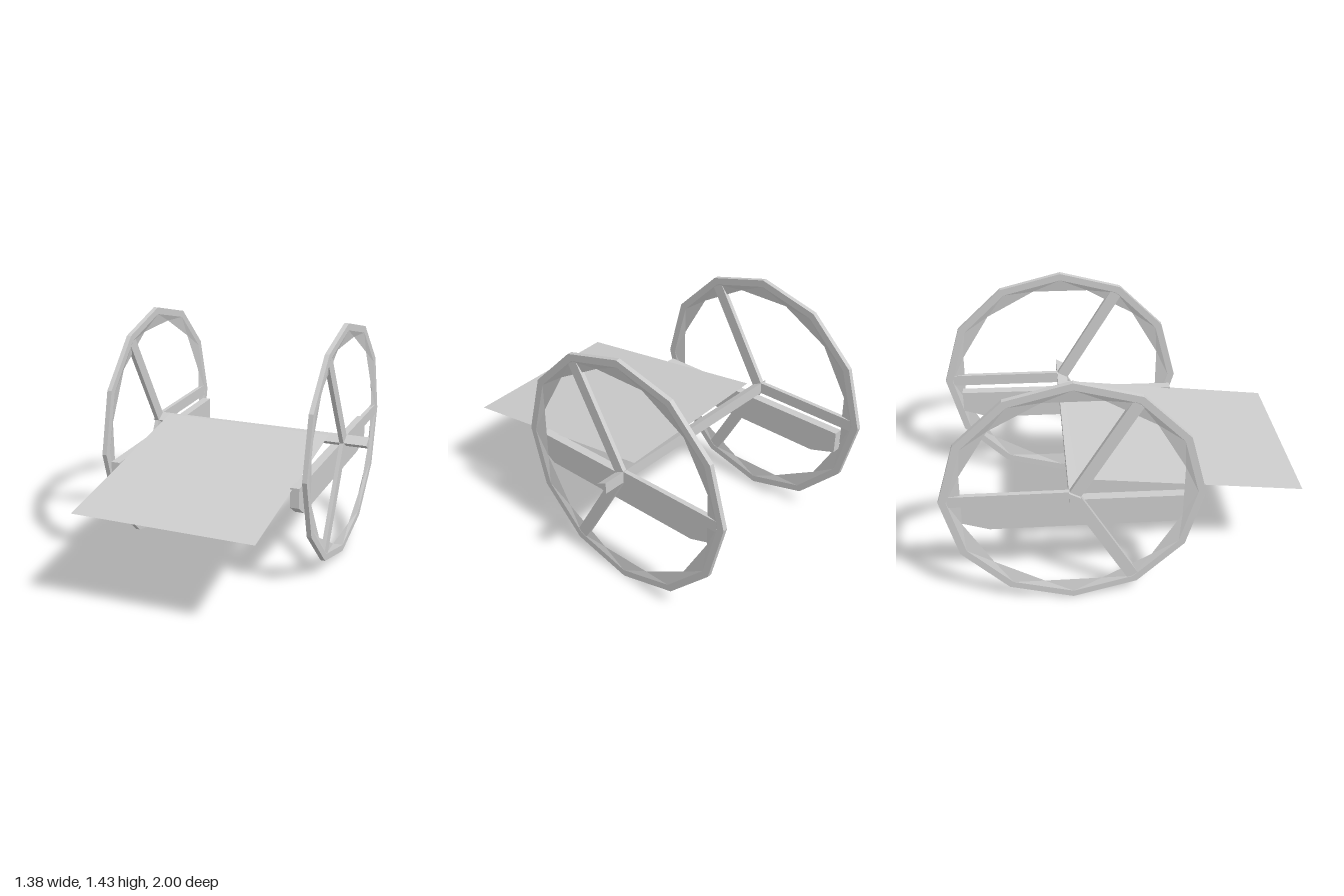
import * as THREE from 'three';

const HUB = { y: 0.719, z: -0.283 };
const SIDES = 12, OUTER = 0.713, INNER = 0.672, RIDGE = 0.617, HALF = 0.0135;

const grey = (side = THREE.FrontSide) =>
  new THREE.MeshStandardMaterial({ color: 0xcccccc, flatShading: true, side });

function add(parent, name, geometry, material = grey()) {
  const mesh = new THREE.Mesh(geometry, material);
  mesh.name = name;
  parent.add(mesh);
  return mesh;
}

function fromTriangles(points) {
  const g = new THREE.BufferGeometry();
  g.setAttribute('position', new THREE.Float32BufferAttribute(points.flat(), 3));
  g.computeVertexNormals();
  return g;
}

// Twelve-sided rim; the inner ridge is turned half a step, giving triangular facets
function rimGeometry() {
  const section = [[HALF, OUTER, 0], [-HALF, OUTER, 0], [-HALF, INNER, 0], [0, RIDGE, 0.5], [HALF, INNER, 0]];
  const at = (i, j) => {
    const [x, r, turn] = section[j % section.length];
    const a = (i + turn) / SIDES * Math.PI * 2;
    return [x, r * Math.cos(a), r * Math.sin(a)];
  };
  const tris = [];
  for (let i = 0; i < SIDES; i++) {
    for (let j = 0; j < section.length; j++) {
      const p = at(i, j), q = at(i, j + 1), r = at(i + 1, j), s = at(i + 1, j + 1);
      if (j === 3) tris.push(p, q, s, p, s, r);
      else tris.push(p, q, r, r, q, s);
    }
  }
  return fromTriangles(tris);
}

// Wheel with three flat spokes
function makeWheel(name, x) {
  const wheel = new THREE.Group();
  wheel.name = name;
  add(wheel, 'rim', rimGeometry());
  for (let k = 0; k < 3; k++) {
    const spoke = new THREE.BoxGeometry(2 * HALF - 0.002, 0.665, 0.068);
    spoke.translate(0, 0.3325, 0);
    add(wheel, 'spoke', spoke).rotation.x = Math.PI / 6 + k * Math.PI * 2 / 3;
  }
  wheel.position.set(x, HUB.y, HUB.z);
  wheel.rotation.x = 0.02;
  return wheel;
}

// Long side beam with clipped lower corners, profile in (z, y)
function beamGeometry(width) {
  const profile = [[0.395, 0.655], [-0.895, 0.69], [-0.895, 0.56], [-0.74, 0.505], [0.31, 0.483], [0.395, 0.54]];
  const shape = new THREE.Shape(profile.map(([z, y]) => new THREE.Vector2(z, y)));
  const g = new THREE.ExtrudeGeometry(shape, { depth: width, bevelEnabled: false });
  g.rotateY(-Math.PI / 2);
  g.translate(width / 2, 0, 0);
  return g;
}

export function createModel() {
  const model = new THREE.Group();
  model.name = 'cart';

  model.add(makeWheel('leftWheel', 0.5435), makeWheel('rightWheel', -0.665));

  // Three-sided axle with its edge to the front
  const axle = new THREE.CylinderGeometry(0.041, 0.041, 1.385, 3);
  axle.rotateZ(Math.PI / 2);
  add(model, 'axle', axle).position.set(0, 0.72, -0.286);

  add(model, 'leftBeam', beamGeometry(0.052)).position.x = 0.478;
  add(model, 'rightBeam', beamGeometry(0.052)).position.x = -0.615;

  // Thin sloping platform
  const a = [-0.58, 0.765, -0.255], b = [0.45, 0.745, -0.285];
  const c = [0.475, 0.56, 0.97], d = [-0.553, 0.58, 1];
  add(model, 'platform', fromTriangles([a, d, c, a, c, b]), grey(THREE.DoubleSide));

  return model;
}
